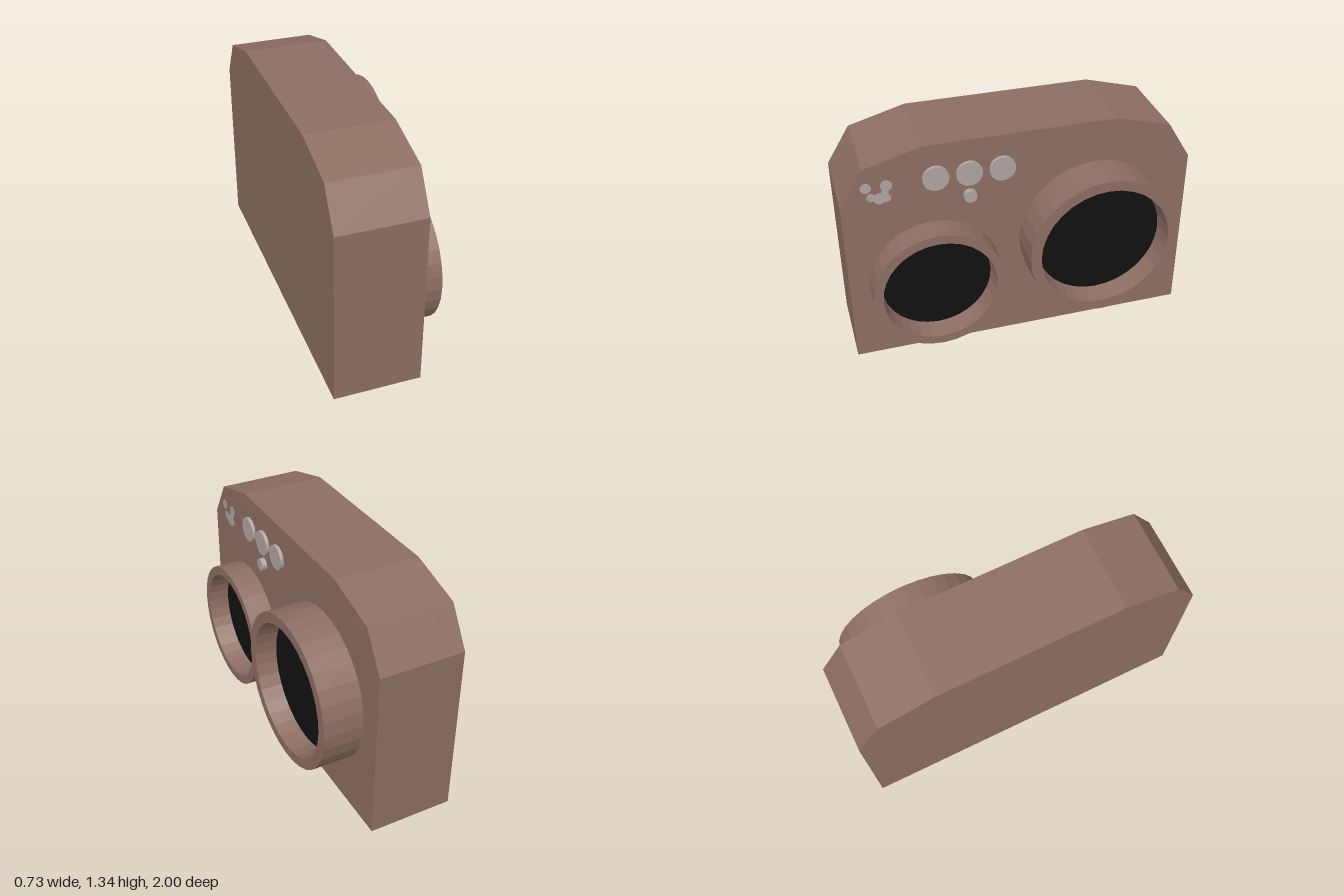
import * as THREE from 'three';

const FACE = 0.13; // x of the panel that carries the details

export function createModel() {
  const model = new THREE.Group();
  const material = (name, color) => {
    const m = new THREE.MeshStandardMaterial({ color });
    m.name = name;
    return m;
  };
  const brown = material('brown casing', 0x8d6e63);
  const grey = material('warm grey', 0xb0a5a2);
  const black = material('black lens', 0x111111);

  const add = (name, geometry, mat, x = 0, y = 0, z = 0) => {
    const flat = geometry.index ? geometry.toNonIndexed() : geometry;
    flat.computeVertexNormals();
    const mesh = new THREE.Mesh(flat, mat);
    mesh.name = name;
    mesh.position.set(x, y, z);
    model.add(mesh);
  };

  // Casing: side outline with double-chamfered top corners, extruded along x
  const half = [[1, 0], [1, 1.03], [0.865, 1.25], [0.54, 1.34]];
  const outline = [...half, ...half.map(([z, y]) => [-z, y]).reverse()];
  const shape = new THREE.Shape(outline.map(([z, y]) => new THREE.Vector2(z, y)));
  const casing = new THREE.ExtrudeGeometry(shape, { depth: FACE + 0.365, bevelEnabled: false });
  casing.rotateY(Math.PI / 2);
  add('casing', casing, brown, -0.365);

  // Discs standing on the panel, facing +x
  const disc = (name, mat, radius, x0, x1, y, z, sides = 32) => {
    const g = new THREE.CylinderGeometry(radius, radius, x1 - x0, sides);
    add(name, g.rotateZ(-Math.PI / 2), mat, (x0 + x1) / 2, y, z);
  };

  // Hollow rims with a recessed lens in each
  const lens = (name, y, z, outer, inner, glass, front, glassX) => {
    const profile = [[outer, FACE], [outer, front], [inner, front], [glass, glassX - 0.005]];
    const g = new THREE.LatheGeometry(profile.map(([r, h]) => new THREE.Vector2(r, h)), 32);
    add(name + 'Rim', g.rotateZ(-Math.PI / 2), brown, 0, y, z);
    disc(name + 'Glass', black, glass, glassX - 0.008, glassX, y, z, 48);
  };
  lens('largeLens', 0.647, -0.43, 0.442, 0.38, 0.368, 0.36, 0.235);
  lens('smallLens', 0.483, 0.51, 0.379, 0.326, 0.316, 0.28, 0.158);

  // Row of buttons and the small knob below
  for (const z of [0.48, 0.295, 0.11]) disc('button', grey, 0.073, FACE, 0.15, 1.14, z);
  disc('knob', grey, 0.037, FACE, 0.16, 1.0, 0.295, 24);

  // Thin painted spots in the upper corner
  const spots = [
    [0.855, 1.135, 0.03], [0.745, 1.135, 0.033], [0.75, 1.06, 0.026],
    [0.785, 1.06, 0.034], [0.83, 1.073, 0.025], [0.755, 1.095, 0.02],
  ];
  spots.forEach(([z, y, r], i) => disc('paintedSpot', grey, r, FACE, FACE + 0.002 + i * 0.0002, y, z, 16));

  return model;
}
